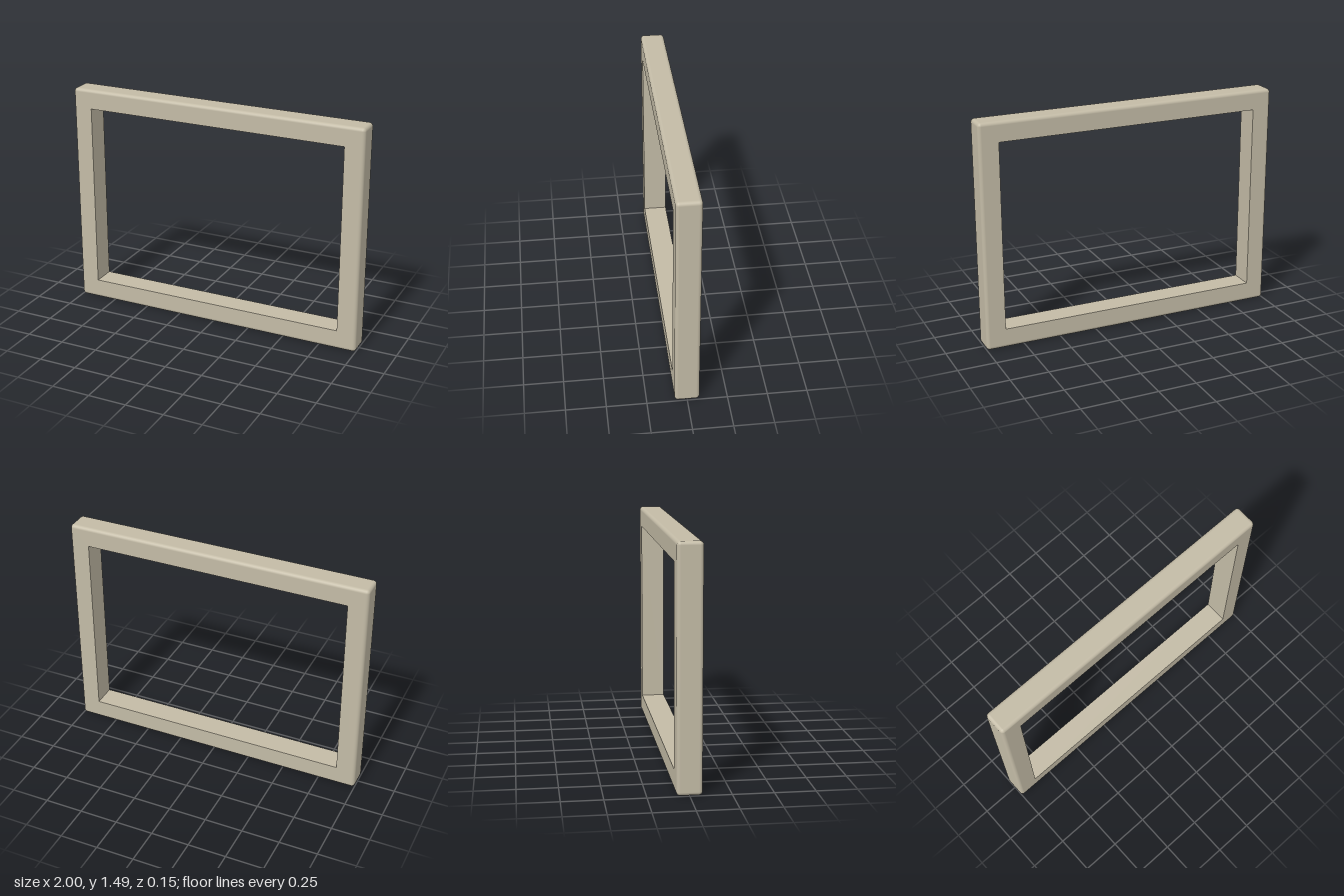
import * as THREE from 'three';

const W = 1, H = 0.743, D = 0.077;   // outer half width, half height, half depth
const IW = 0.873, IH = 0.615;        // opening half width, half height
const R = 0.022, STEPS = 6;          // rounding of the outer edges

// Skin closed counter-clockwise rings of points, one ring after another
function loft(rings) {
  const n = rings[0].length, index = [];
  for (let i = 0; i < rings.length - 1; i++) {
    for (let j = 0; j < n; j++) {
      const a = i * n + j, b = i * n + (j + 1) % n;
      index.push(a, b, b + n, a, b + n, a + n);
    }
  }
  const geometry = new THREE.BufferGeometry();
  geometry.setAttribute('position', new THREE.Float32BufferAttribute(rings.flat(2), 3));
  geometry.setIndex(index);
  return geometry;
}

// Outer rim: rounded edges and corners with smooth normals
function rimGeometry() {
  const rings = [], normals = [];
  for (const side of [-1, 1]) {
    for (let i = 0; i <= STEPS; i++) {
      const t = (side < 0 ? i - STEPS : i) / STEPS * Math.PI / 2;
      const ring = [];
      [[1, 1], [-1, 1], [-1, -1], [1, -1]].forEach(([sx, sy], corner) => {
        for (let k = 0; k <= STEPS; k++) {
          const a = (corner + k / STEPS) * Math.PI / 2;
          const n = [Math.cos(a) * Math.cos(t), Math.sin(a) * Math.cos(t), Math.sin(t)];
          normals.push(...n);
          ring.push([sx * (W - R) + R * n[0], sy * (H - R) + R * n[1], side * (D - R) + R * n[2]]);
        }
      });
      rings.push(ring);
    }
  }
  const geometry = loft(rings);
  geometry.setAttribute('normal', new THREE.Float32BufferAttribute(normals, 3));
  return geometry;
}

// Flat front, sharp-edged opening and flat back
function facesGeometry() {
  const rect = (x, y, z) => [[x, y, z], [-x, y, z], [-x, -y, z], [x, -y, z]];
  const geometry = loft([
    rect(W - R, H - R, D), rect(IW, IH, D), rect(IW, IH, -D), rect(W - R, H - R, -D),
  ]).toNonIndexed();
  geometry.computeVertexNormals();
  return geometry;
}

export function createModel() {
  const group = new THREE.Group();
  group.name = 'rectangularFrame';
  const material = new THREE.MeshStandardMaterial({ color: 0xc3bba6 });
  const parts = { outerRim: rimGeometry(), facesAndOpening: facesGeometry() };
  for (const [name, geometry] of Object.entries(parts)) {
    const mesh = new THREE.Mesh(geometry, material);
    mesh.name = name;
    mesh.position.y = H;
    group.add(mesh);
  }
  return group;
}
